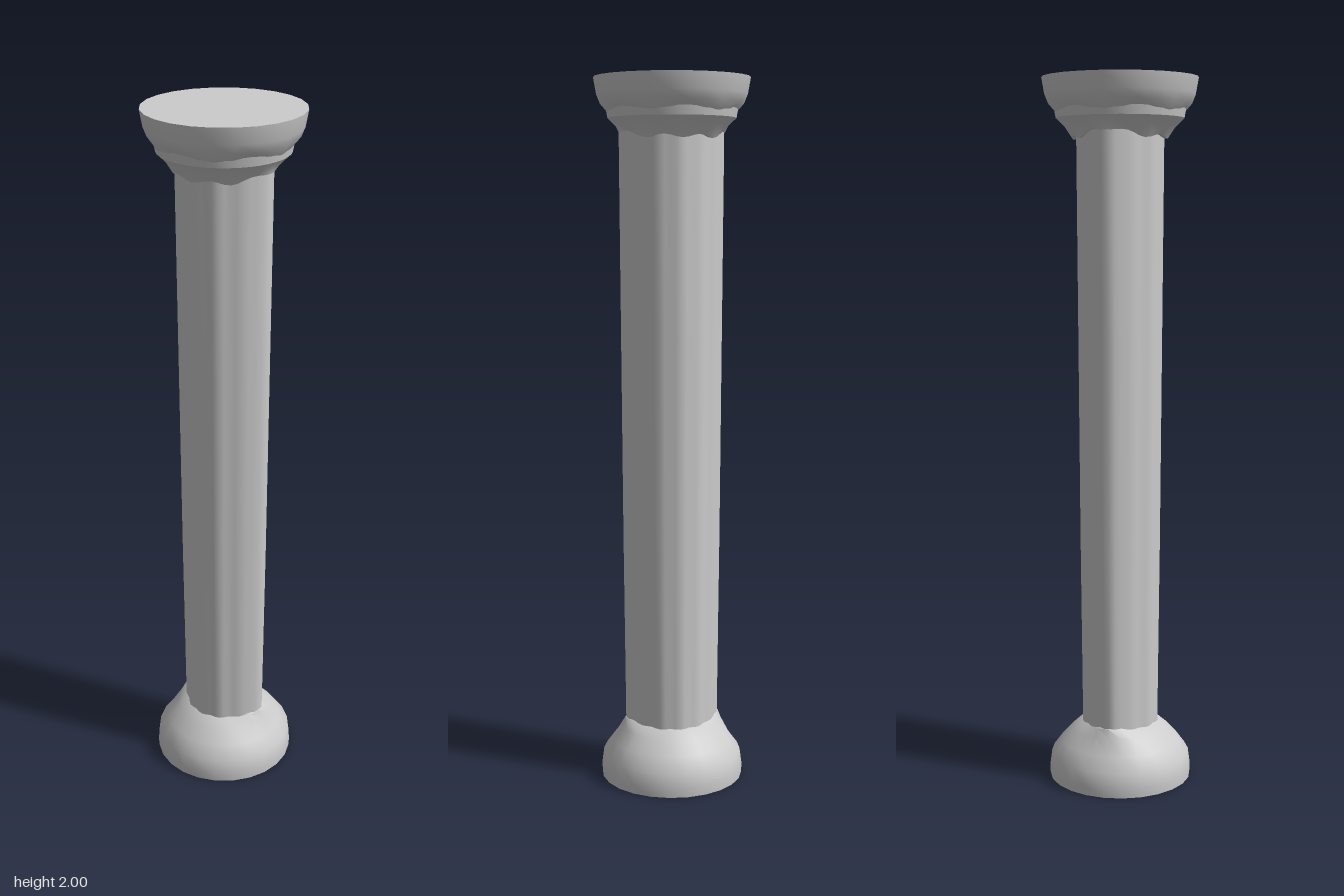
import * as THREE from 'three';
import { toCreasedNormals } from 'three/addons/utils/BufferGeometryUtils.js';

const SIDES = 48;
const material = new THREE.MeshStandardMaterial({ color: 0xcccccc, side: THREE.DoubleSide });

// Turns a profile of [radius, y] points around y, then lets a rule adjust each vertex
function turned(name, profile, sides, rule) {
  const points = profile.map(([r, y]) => new THREE.Vector2(r, y));
  const geometry = new THREE.LatheGeometry(points, sides);
  const p = geometry.attributes.position;
  if (rule) {
    for (let i = 0; i < p.count; i++) {
      const x = p.getX(i), y = p.getY(i), z = p.getZ(i);
      const r = Math.hypot(x, z);
      if (r < 1e-6) continue;
      const [newR, newY] = rule(r, y, Math.atan2(z, x));
      p.setXYZ(i, (x / r) * newR, newY, (z / r) * newR);
    }
  }
  const mesh = new THREE.Mesh(toCreasedNormals(geometry, 0.6), material);
  mesh.name = name;
  return mesh;
}

// Ridge towards the front and back, strongest on the z axis
const ridge = (a) => Math.abs(Math.sin(a)) ** 10;

export function createModel() {
  const column = new THREE.Group();
  column.name = 'column';

  // Shaft: widens upwards, with front and back ridges and very shallow flutes
  column.add(turned('shaft', [[0.109, 0.1], [0.115, 0.7], [0.119, 1.3], [0.123, 1.9]], SIDES,
    (r, y, a) => [r + 0.025 * ridge(a) + 0.002 * Math.cos(12 * a), y]));

  // Base: short drum below a sloping shoulder that climbs the ridges
  column.add(turned('base',
    [[0, 0], [0.205, 0], [0.206, 0.025], [0.2, 0.07], [0.172, 0.108], [0.14, 0.142], [0.113, 0.165], [0.1, 0.172]],
    24, (r, y, a) => {
      const climb = y > 0.13 ? ridge(a) : 0;
      return [r + climb * (y > 0.16 ? 0.026 : 0.008), y + climb * 0.012];
    }));

  // Neck: flared ring under the capital with a gently waved lower edge
  column.add(turned('neck',
    [[0.11, 1.84], [0.133, 1.838], [0.155, 1.868], [0.178, 1.89], [0.183, 1.918], [0.15, 1.93]],
    SIDES, (r, y, a) => {
      const low = y < 1.85 ? 1 : 0;
      return [r + low * 0.016 * ridge(a), y + low * (0.018 * ridge(a) - 0.005 * Math.cos(8 * a))];
    }));

  // Capital: wide flat-topped disc with a rounded underside
  column.add(turned('capital',
    [[0.14, 1.908], [0.182, 1.91], [0.199, 1.93], [0.209, 1.955], [0.217, 2], [0, 2]],
    24, (r, y, a) => [r, y < 1.92 ? y + 0.005 * Math.cos(6 * a) : y]));

  return column;
}
